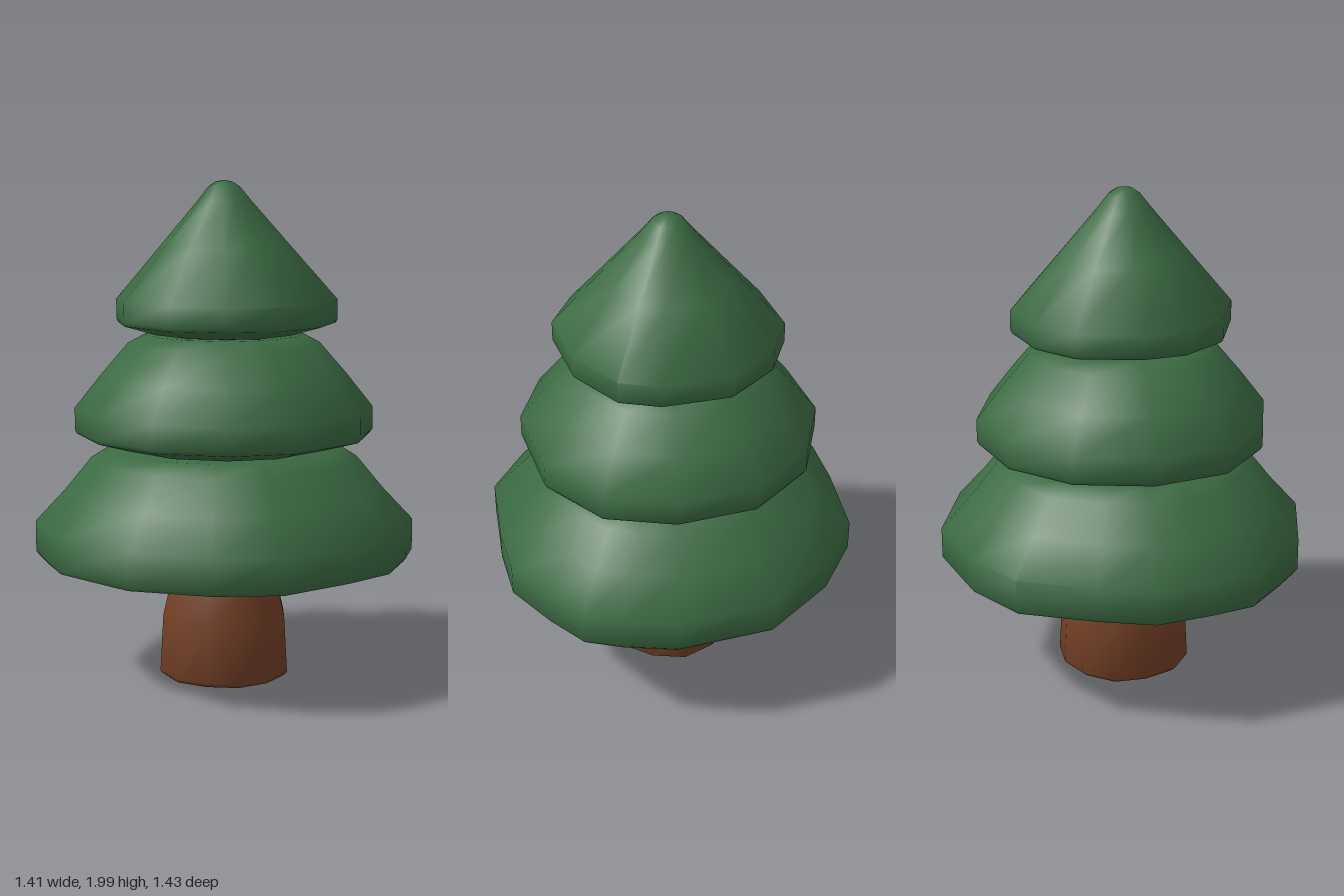
import * as THREE from 'three';
import { toCreasedNormals } from 'three/addons/utils/BufferGeometryUtils.js';

// Skin an outline of [x, z] points through rings of [scale, y], bottom to top.
// A scale of 0 closes the end to a point.
function loft(outline, rings) {
  const n = outline.length;
  const at = ([s, y], i) => {
    const [x, z] = outline[i % n];
    return [x * s, y, z * s];
  };
  const pos = [];
  for (let k = 0; k < rings.length - 1; k++) {
    const lo = rings[k], hi = rings[k + 1];
    for (let i = 0; i < n; i++) {
      const a = at(lo, i), b = at(lo, i + 1), c = at(hi, i), d = at(hi, i + 1);
      if (lo[0] > 0) pos.push(...a, ...c, ...b);
      if (hi[0] > 0) pos.push(...b, ...c, ...d);
    }
  }
  const geo = new THREE.BufferGeometry();
  geo.setAttribute('position', new THREE.Float32BufferAttribute(pos, 3));
  return toCreasedNormals(geo, 0.9);
}

export function createModel() {
  const group = new THREE.Group();
  const green = new THREE.MeshStandardMaterial({ color: 0x3b6a42 });
  green.name = 'pine green';
  const brown = new THREE.MeshStandardMaterial({ color: 0x744026 });
  brown.name = 'bark brown';

  const add = (name, outline, rings, material) => {
    const mesh = new THREE.Mesh(loft(outline, rings), material);
    mesh.name = name;
    group.add(mesh);
  };

  // Trunk: slightly irregular column, narrowing under the branches
  const trunk = [];
  for (let i = 0; i < 12; i++) {
    const a = (i / 12) * Math.PI * 2;
    const r = 0.265 + 0.006 * Math.sin(i * 2.3);
    trunk.push([r * Math.cos(a), r * Math.sin(a) - 0.004]);
  }
  add('trunk', trunk, [[0, 0.01], [0.94, 0.01], [1, 0.025], [0.95, 0.26], [0.86, 0.36], [0.73, 0.5]], brown);

  // Hand-cut outlines of the three branch tiers
  const lower = [
    [0.705, 0], [0.67, 0.31], [0.5, 0.515], [0.22, 0.69], [-0.16, 0.715], [-0.3, 0.66],
    [-0.5, 0.57], [-0.6, 0.42], [-0.71, 0.22], [-0.71, 0], [-0.68, -0.32], [-0.51, -0.53],
    [-0.23, -0.71], [0.16, -0.72], [0.36, -0.65], [0.5, -0.58], [0.6, -0.43], [0.705, -0.23],
  ];
  const middle = [
    [0.57, 0.14], [0.44, 0.38], [0.19, 0.545], [-0.11, 0.56], [-0.39, 0.45], [-0.555, 0.19],
    [-0.58, -0.12], [-0.45, -0.39], [-0.2, -0.56], [0.12, -0.57], [0.385, -0.46], [0.55, -0.21],
  ];
  const upper = [
    [0.43, 0.12], [0.32, 0.28], [0.13, 0.41], [-0.14, 0.4], [-0.33, 0.28], [-0.41, 0.12],
    [-0.43, -0.13], [-0.33, -0.3], [-0.13, -0.43], [0.14, -0.42], [0.29, -0.35], [0.41, -0.14],
  ];

  add('lowerBranches', lower,
    [[0, 0.485], [0.5, 0.49], [0.985, 0.5], [1, 0.515], [1, 0.64], [0.84, 0.77], [0.7, 0.9], [0.61, 0.943], [0.3, 0.955]], green);
  add('middleBranches', middle,
    [[0.4, 0.935], [0.72, 0.952], [0.985, 0.995], [1, 1.01], [1, 1.1], [0.82, 1.235], [0.64, 1.36], [0.53, 1.395], [0.25, 1.405]], green);
  add('upperBranches', upper,
    [[0.4, 1.385], [0.68, 1.4], [0.985, 1.438], [1, 1.45], [1, 1.53], [0.58, 1.745], [0.24, 1.92], [0.14, 1.975], [0.07, 1.995], [0, 2]], green);

  return group;
}
